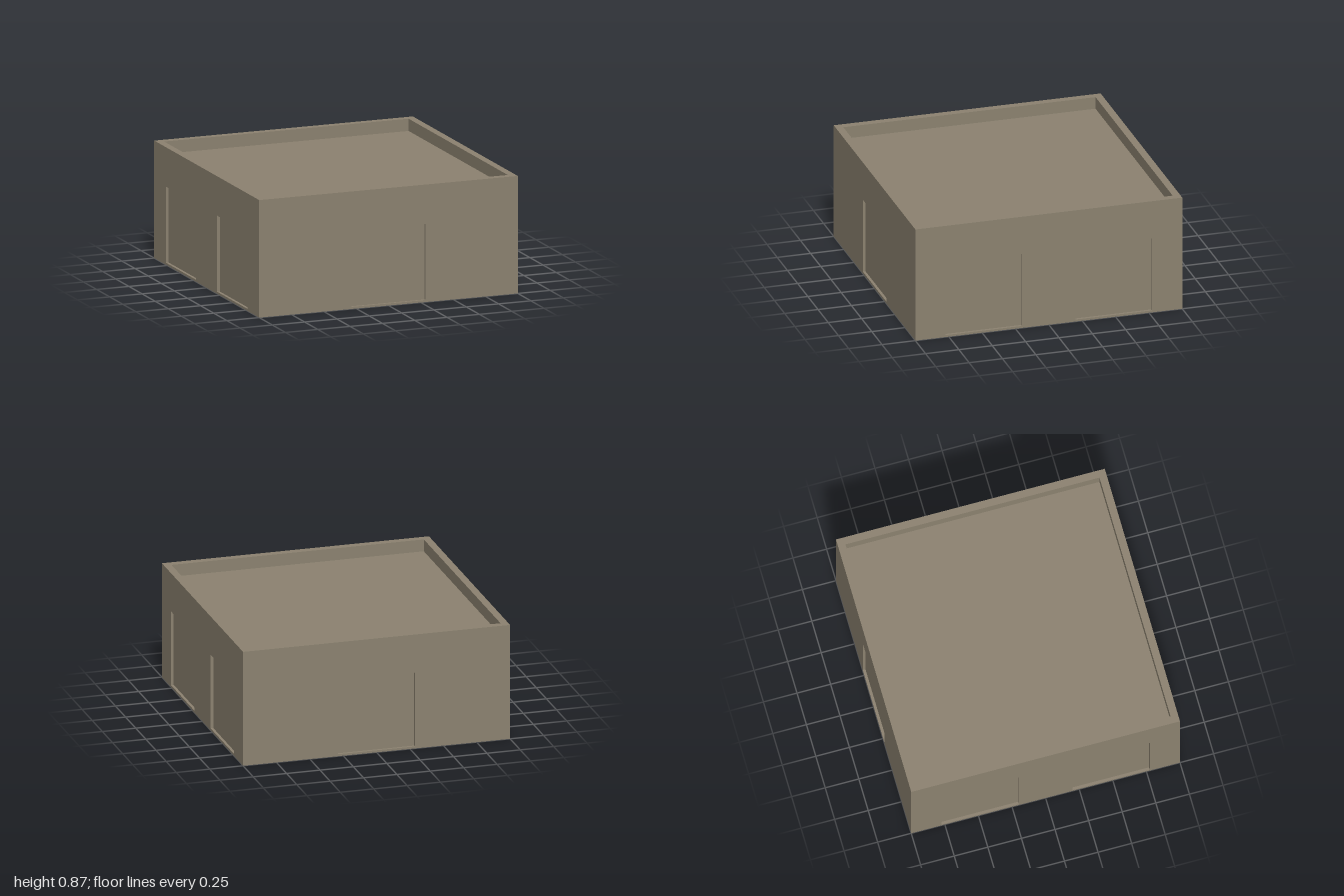
import * as THREE from 'three';

const HALF = 1, INNER = 0.945, TOP = 0.865, ROOF = 0.775;
const FLOOR = 0.015, DOOR_W = 0.575, DOOR_TOP = 0.575, DOOR_Z = 0.98;

const stone = new THREE.MeshStandardMaterial({ color: 0x8c8270, side: THREE.DoubleSide });
stone.name = 'weathered stone';

function part(name, geometry, parent, x = 0, y = 0, z = 0) {
  const mesh = new THREE.Mesh(geometry, stone);
  mesh.name = name;
  mesh.position.set(x, y, z);
  parent.add(mesh);
  return mesh;
}

// Adds a clockwise or counter-clockwise rectangle to a shape or path
function rect(path, x0, y0, x1, y1) {
  path.moveTo(x0, y0);
  path.lineTo(x1, y0);
  path.lineTo(x1, y1);
  path.lineTo(x0, y1);
  path.closePath();
  return path;
}

// One side of the building, facing +z, with recessed doors at the given offsets
function makeSide(name, doorCentres) {
  const side = new THREE.Group();
  side.name = name;
  const face = rect(new THREE.Shape(), -HALF, 0, HALF, TOP);
  const height = DOOR_TOP - FLOOR, midY = (DOOR_TOP + FLOOR) / 2;
  const depth = HALF - DOOR_Z, midZ = (HALF + DOOR_Z) / 2;

  for (const cx of doorCentres) {
    face.holes.push(rect(new THREE.Path(), cx - DOOR_W / 2, FLOOR, cx + DOOR_W / 2, DOOR_TOP));
    // Door slab set back from the outer wall
    part('door', new THREE.BoxGeometry(DOOR_W, height, DOOR_Z - INNER), side,
      cx, midY, (DOOR_Z + INNER) / 2);
    // Reveals around the door opening
    for (const s of [-1, 1]) {
      part('doorJamb', new THREE.PlaneGeometry(depth, height), side,
        cx + s * DOOR_W / 2, midY, midZ).rotation.y = -s * Math.PI / 2;
      part(s > 0 ? 'doorLintel' : 'doorSill', new THREE.PlaneGeometry(DOOR_W, depth), side,
        cx, midY + s * height / 2, midZ).rotation.x = s * Math.PI / 2;
    }
  }
  part('outerWall', new THREE.ShapeGeometry(face), side, 0, 0, HALF);

  // Inner skin, which also forms the inside of the parapet
  part('innerWall', new THREE.PlaneGeometry(INNER * 2, TOP - FLOOR), side,
    0, (TOP + FLOOR) / 2, INNER).rotation.y = Math.PI;
  return side;
}

export function createModel() {
  const model = new THREE.Group();
  model.name = 'building';

  // Single door front and back, a pair of doors on each flank
  ['frontSide', 'leftSide', 'backSide', 'rightSide'].forEach((name, i) => {
    const side = makeSide(name, i % 2 ? [-0.4875, 0.4875] : [0]);
    side.rotation.y = i * Math.PI / 2;
    model.add(side);
  });

  // Parapet cap
  const cap = rect(new THREE.Shape(), -HALF, -HALF, HALF, HALF);
  cap.holes.push(rect(new THREE.Path(), -INNER, -INNER, INNER, INNER));
  part('parapetCap', new THREE.ShapeGeometry(cap), model, 0, TOP, 0).rotation.x = -Math.PI / 2;

  // Sunken roof deck and floor underside
  const deck = new THREE.PlaneGeometry(INNER * 2, INNER * 2);
  part('roofDeck', deck, model, 0, ROOF, 0).rotation.x = -Math.PI / 2;
  part('floor', deck, model, 0, FLOOR, 0).rotation.x = Math.PI / 2;
  return model;
}
